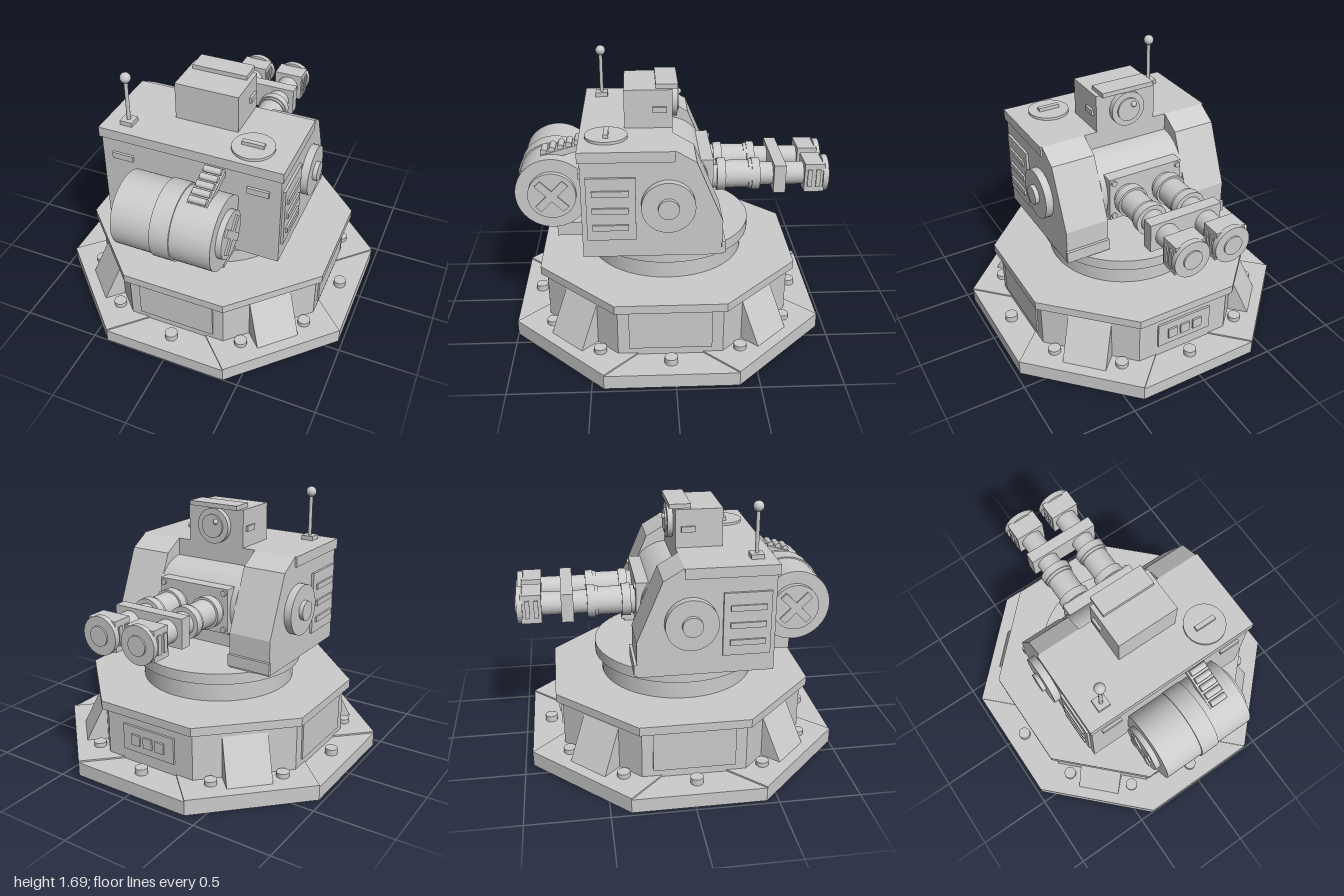
import * as THREE from 'three';

const mat = new THREE.MeshStandardMaterial({ color: 0xcccccc });
const flat = new THREE.MeshStandardMaterial({ color: 0xcccccc, flatShading: true });

function add(parent, name, geo, x = 0, y = 0, z = 0, m = mat) {
  const mesh = new THREE.Mesh(geo, m);
  mesh.name = name;
  mesh.position.set(x, y, z);
  parent.add(mesh);
  return mesh;
}

// box given by its min/max on each axis
function box(parent, name, [x0, x1], [y0, y1], [z0, z1]) {
  return add(parent, name, new THREE.BoxGeometry(x1 - x0, y1 - y0, z1 - z0),
    (x0 + x1) / 2, (y0 + y1) / 2, (z0 + z1) / 2);
}

// cylinder running from a to b along an axis; p holds the other two coordinates
function cyl(parent, name, axis, r, a, b, [p, q], seg = 40) {
  const geo = new THREE.CylinderGeometry(r, r, b - a, seg);
  const c = (a + b) / 2;
  if (axis === 'x') return add(parent, name, geo.rotateZ(Math.PI / 2), c, p, q);
  if (axis === 'z') return add(parent, name, geo.rotateX(Math.PI / 2), p, q, c);
  return add(parent, name, geo, p, c, q);
}

// side profile of [z, y] points, extruded from x0 to x1
function profile(parent, name, points, x0, x1) {
  const shape = new THREE.Shape(points.map(([z, y]) => new THREE.Vector2(-z, y)));
  const geo = new THREE.ExtrudeGeometry(shape, { depth: x1 - x0, bevelEnabled: false });
  return add(parent, name, geo.rotateY(Math.PI / 2), x0);
}

function octagon(parent, name, apothem, y0, y1) {
  const r = apothem / Math.cos(Math.PI / 8);
  const geo = new THREE.CylinderGeometry(r, r, y1 - y0, 8).rotateY(Math.PI / 8);
  return add(parent, name, geo, 0, (y0 + y1) / 2, 0, flat);
}

function buildBase() {
  const base = new THREE.Group();
  base.name = 'base';
  base.position.z = 0.025;

  octagon(base, 'groundPlate', 0.975, 0, 0.09);
  for (const s of [-1, 1]) {
    box(base, 'diagonalFoot', [-0.404, 0.404], [0, 0.1], [-0.975, 0.975]).rotation.y = s * Math.PI / 4;
  }
  octagon(base, 'pedestal', 0.77, 0.09, 0.41);
  octagon(base, 'deck', 0.81, 0.41, 0.465);

  // gussets on the diagonals, inset panels on the straight faces
  for (let i = 0; i < 4; i++) {
    const corner = new THREE.Group();
    corner.name = 'corner';
    corner.rotation.y = Math.PI / 4 + i * Math.PI / 2;
    profile(corner, 'gusset', [[0.74, 0.09], [0.905, 0.09], [0.905, 0.1], [0.77, 0.37], [0.74, 0.37]], -0.14, 0.14);
    base.add(corner);

    const side = new THREE.Group();
    side.name = 'pedestalSide';
    side.rotation.y = i * Math.PI / 2;
    if (i === 2) {
      box(side, 'controlPanel', [-0.19, 0.19], [0.17, 0.34], [0.76, 0.783]);
      for (const x of [-0.09, 0, 0.09]) {
        box(side, 'controlButton', [x - 0.032, x + 0.032], [0.22, 0.29], [0.78, 0.795]);
      }
    } else {
      box(side, 'sidePanel', [-0.252, 0.252], [0.14, 0.4], [0.76, 0.78]);
    }
    base.add(side);
  }

  for (let i = 0; i < 12; i++) {
    const a = i * Math.PI / 6;
    cyl(base, 'baseBolt', 'y', 0.04, 0.08, 0.13, [0.855 * Math.sin(a), 0.855 * Math.cos(a)], 16);
  }

  cyl(base, 'neck', 'y', 0.497, 0.465, 0.595, [0, 0], 48);
  cyl(base, 'turntableRing', 'y', 0.54, 0.595, 0.665, [0, 0], 48);
  return base;
}

function buildHull() {
  const hull = new THREE.Group();
  hull.name = 'hull';
  box(hull, 'hullCore', [-0.3, 0.3], [0.665, 1.3], [-0.01, 0.54]);
  box(hull, 'roof', [-0.582, 0.582], [1.28, 1.345], [-0.01, 0.553]);

  // armoured cheeks and their side fittings
  const cheek = [[0.54, 0.665], [0.54, 1.3], [0, 1.3], [-0.01, 1.345], [-0.135, 1.27], [-0.295, 0.89], [-0.295, 0.665]];
  for (const s of [-1, 1]) {
    const span = (a, b) => (s > 0 ? [a, b] : [-b, -a]);
    profile(hull, 'cheek', cheek, ...span(0.288, 0.57));
    box(hull, 'cheekSkirt', span(0.285, 0.577), [0.68, 0.755], [-0.313, -0.29]);
    cyl(hull, 'trunnionDisc', 'x', 0.16, ...span(0.56, 0.618), [1.005, 0.03]);
    cyl(hull, 'trunnionHub', 'x', 0.062, ...span(0.6, 0.645), [1.005, 0.03], 32);
    box(hull, 'louverPanel', span(0.56, 0.586), [0.785, 1.185], [0.22, 0.51]);
    for (const y of [0.87, 0.98, 1.09]) {
      box(hull, 'louverSlat', span(0.58, 0.598), [y - 0.018, y + 0.018], [0.262, 0.477]);
    }
    box(hull, 'frontVent', span(0.365, 0.5), [1.145, 1.185], [0.53, 0.556]);
    box(hull, 'drumBracket', span(0.138, 0.293), [0.665, 0.755], [0.53, 0.715]);
  }

  // hatch and antenna
  cyl(hull, 'hatch', 'y', 0.128, 1.34, 1.362, [0.34, 0.39]);
  box(hull, 'hatchHandle', [0.272, 0.408], [1.36, 1.385], [0.375, 0.405]);
  box(hull, 'antennaFoot', [-0.475, -0.395], [1.34, 1.373], [0.4, 0.48]);
  cyl(hull, 'antennaRod', 'y', 0.012, 1.37, 1.64, [-0.435, 0.44], 12);
  add(hull, 'antennaBall', new THREE.SphereGeometry(0.033, 20, 14), -0.435, 1.655, 0.44);
  return hull;
}

function buildSight() {
  const sight = new THREE.Group();
  sight.name = 'sight';
  box(sight, 'sightHousing', [-0.202, 0.202], [1.34, 1.585], [-0.01, 0.283]);
  box(sight, 'sightVisor', [-0.175, 0.175], [1.583, 1.612], [-0.045, 0.09]);
  box(sight, 'sightSidePlates', [-0.217, 0.217], [1.445, 1.48], [0.025, 0.11]);
  cyl(sight, 'lensRim', 'z', 0.112, -0.045, 0, [0, 1.468]);
  cyl(sight, 'lens', 'z', 0.075, -0.056, -0.04, [0, 1.468]);
  add(sight, 'lensGlint', new THREE.SphereGeometry(0.018, 16, 12), -0.03, 1.5, -0.058);
  return sight;
}

function buildDrum() {
  const drum = new THREE.Group();
  drum.name = 'ammunitionDrum';
  const at = [0.965, 0.732];
  cyl(drum, 'drumBody', 'x', 0.228, -0.31, 0.31, at, 48);
  cyl(drum, 'drumBand', 'x', 0.237, -0.06, 0.06, at, 48);
  cyl(drum, 'drumCaps', 'x', 0.148, -0.345, 0.345, at);
  for (const s of [-1, 1]) {
    for (const turn of [-1, 1]) {
      const bar = box(drum, 'capCrossBar', [-0.01, 0.01], [-0.12, 0.12], [-0.024, 0.024]);
      bar.position.set(s * 0.346, ...at);
      bar.rotation.x = turn * Math.PI / 4;
    }
  }

  // feed chute with its row of rounds
  profile(drum, 'feedChute', [[0.52, 1.225], [0.52, 1.265], [0.8, 1.185], [0.79, 1.145]], 0.1, 0.23);
  for (let i = 0; i < 5; i++) {
    const t = i / 4;
    cyl(drum, 'feedRound', 'x', 0.02, 0.112, 0.22, [1.262 - 0.062 * t, 0.572 + 0.208 * t], 16);
  }
  return drum;
}

function buildGuns() {
  const guns = new THREE.Group();
  guns.name = 'guns';
  cyl(guns, 'mantlet', 'x', 0.235, -0.288, 0.288, [1.0, 0], 48);
  box(guns, 'mountPlate', [-0.252, 0.252], [0.86, 1.147], [-0.262, -0.18]);
  for (const x of [-0.225, 0.225]) {
    for (const y of [0.887, 1.12]) cyl(guns, 'mountBolt', 'z', 0.018, -0.275, -0.25, [x, y], 12);
  }
  box(guns, 'barrelBridge', [-0.24, 0.24], [0.91, 1.093], [-0.72, -0.645]);

  // [name, radius, far z, near z]
  const sections = [
    ['sleeve', 0.088, -0.56, -0.25],
    ['rearCollar', 0.102, -0.345, -0.29],
    ['middleRing', 0.095, -0.52, -0.49],
    ['frontCollar', 0.102, -0.56, -0.51],
    ['barrel', 0.073, -0.9, -0.5],
    ['muzzleFlange', 0.116, -0.99, -0.955],
    ['muzzleRing', 0.06, -1.0, -0.98],
  ];
  for (const x of [-0.135, 0.135]) {
    const gun = new THREE.Group();
    gun.name = 'gun';
    gun.position.x = x;
    for (const [name, r, a, b] of sections) cyl(gun, name, 'z', r, a, b, [0, 1.0], 36);
    box(gun, 'muzzleBrake', [-0.097, 0.097], [0.91, 1.095], [-0.965, -0.84]);
    for (const z of [-0.925, -0.872]) {
      box(gun, 'brakePorts', [-0.106, 0.106], [0.945, 1.06], [z - 0.014, z + 0.014]);
    }
    guns.add(gun);
  }
  return guns;
}

export function createModel() {
  const model = new THREE.Group();
  model.name = 'gunTurret';
  model.add(buildBase(), buildHull(), buildSight(), buildDrum(), buildGuns());
  return model;
}
